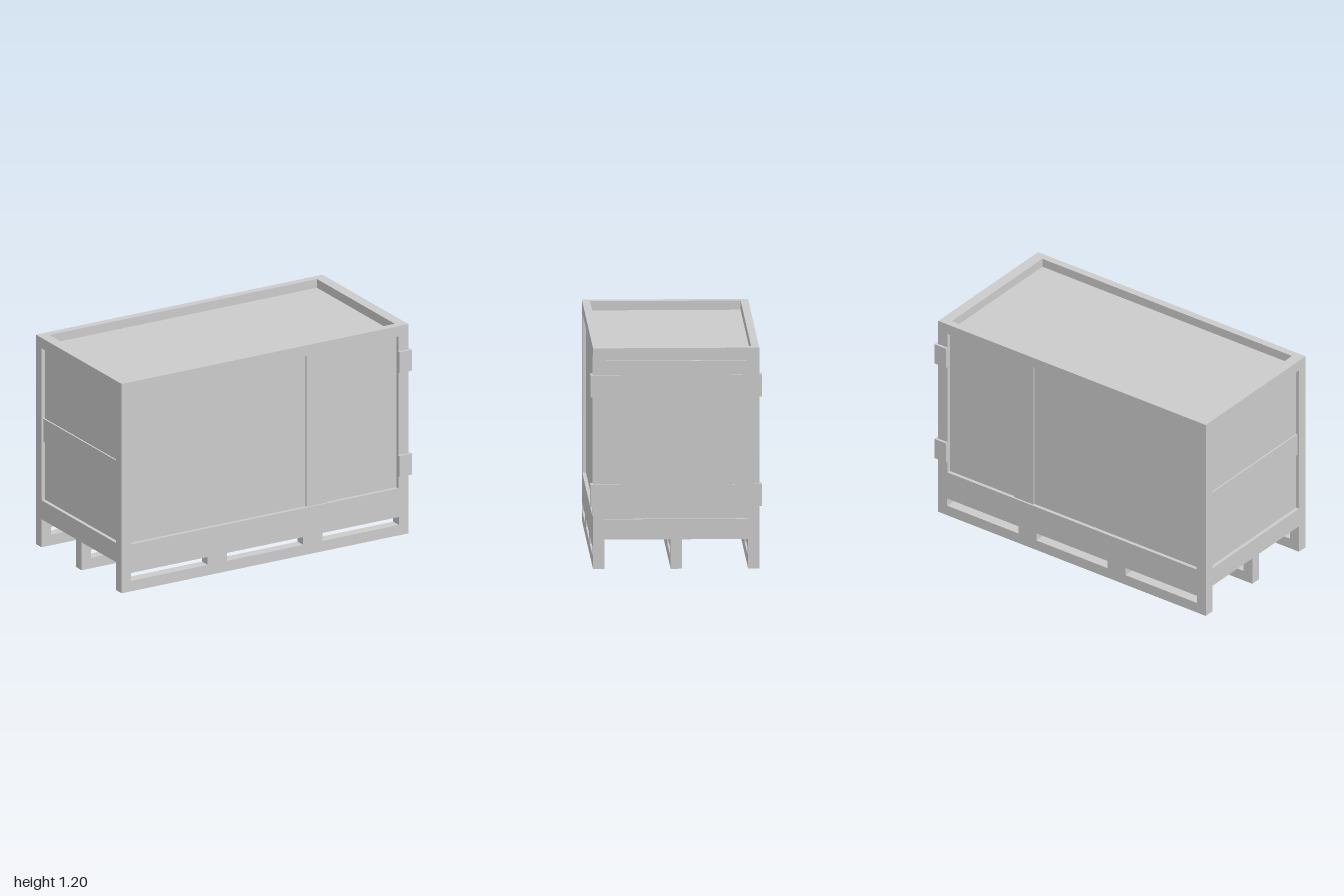
import * as THREE from 'three';

const mat = new THREE.MeshStandardMaterial({ color: 0xcccccc, flatShading: true });

// Half length, half width, recess depth and main heights
const HL = 0.9, HW = 0.447, D = 0.02;
const DECK = 0.16, ROOF = 1.15, TOP = 1.2;
const OPEN_Y0 = 0.27, OPEN_Y1 = 1.14;

function add(parent, name, geometry) {
  const mesh = new THREE.Mesh(geometry, mat);
  mesh.name = name;
  parent.add(mesh);
  return mesh;
}

// Box given by its limits on each axis
function block(parent, name, x0, x1, y0, y1, z0, z1) {
  const mesh = add(parent, name, new THREE.BoxGeometry(x1 - x0, y1 - y0, z1 - z0));
  mesh.position.set((x0 + x1) / 2, (y0 + y1) / 2, (z0 + z1) / 2);
  return mesh;
}

function rectPath(PathType, x0, x1, y0, y1) {
  return new PathType([[x0, y0], [x1, y0], [x1, y1], [x0, y1]].map(p => new THREE.Vector2(...p)));
}

// Flat plate with rectangular holes, extruded towards +z; rects are [x0, x1, y0, y1]
function plate(outer, holes, depth) {
  const shape = rectPath(THREE.Shape, ...outer);
  holes.forEach(h => shape.holes.push(rectPath(THREE.Path, ...h)));
  return new THREE.ExtrudeGeometry(shape, { depth, bevelEnabled: false });
}

export function createModel() {
  const model = new THREE.Group();
  model.name = 'container';

  // The whole container stands turned on the ground
  const body = new THREE.Group();
  body.name = 'body';
  body.rotation.y = -17 * Math.PI / 180;
  body.position.set(-0.01, 0, -0.01);
  model.add(body);

  const cx = HL - D, cz = HW - D;
  block(body, 'core', -cx, cx, DECK, ROOF, -cz, cz);

  // Raised rim around the sunken roof
  const rim = add(body, 'roofRim',
    plate([-cx, cx, -cz, cz], [[-0.84, 0.84, -0.405, 0.405]], TOP - ROOF));
  rim.rotation.x = -Math.PI / 2;
  rim.position.y = ROOF;

  // Long sides: frame around a recessed panel, with a raised post
  for (const s of [1, -1]) {
    const frame = add(body, 'sideFrame',
      plate([-HL, HL, DECK, TOP], [[-0.837, 0.837, OPEN_Y0, OPEN_Y1]], D));
    frame.position.z = s > 0 ? cz : -HW;
    const z = [s * (cz - 0.005), s * (cz + 0.009)].sort((a, b) => a - b);
    block(body, 'sidePost', 0.267, 0.398, OPEN_Y0, OPEN_Y1, ...z);
  }

  // Short ends: frame around an opening
  for (const s of [1, -1]) {
    const frame = add(body, 'endFrame',
      plate([-cz, cz, DECK, TOP], [[-0.387, 0.387, OPEN_Y0, OPEN_Y1]], D));
    frame.rotation.y = s * Math.PI / 2;
    frame.position.x = s * cx;
  }

  // Door with a narrow gap on one end, cross bar on the other
  block(body, 'door', cx - 0.005, HL, OPEN_Y0 + 0.01, OPEN_Y1 - 0.01, -0.378, 0.378);
  block(body, 'endCrossBar', -cx - 0.009, -cx + 0.005, 0.605, 0.735, -0.387, 0.387);

  // Angled hinges wrapping the two door corners
  const T = 0.015;
  for (const s of [1, -1]) {
    for (const y of [0.34, 0.935]) {
      const hinge = new THREE.Group();
      hinge.name = 'hinge';
      body.add(hinge);
      const side = [s * HW, s * (HW + T)].sort((a, b) => a - b);
      const end = [s * 0.3, s * HW].sort((a, b) => a - b);
      block(hinge, 'hingeSidePlate', 0.836, HL + T, y, y + 0.12, ...side);
      block(hinge, 'hingeEndPlate', HL, HL + T, y, y + 0.12, ...end);
    }
  }

  // Three slotted runners under the deck
  const slots = [-0.6, 0, 0.6].map(x => [x - 0.24, x + 0.24, 0.06, 0.105]);
  for (const z of [-HW, -0.03, HW - 0.06]) {
    add(body, 'runner', plate([-HL, HL, 0, DECK], slots, 0.06)).position.z = z;
  }

  return model;
}
